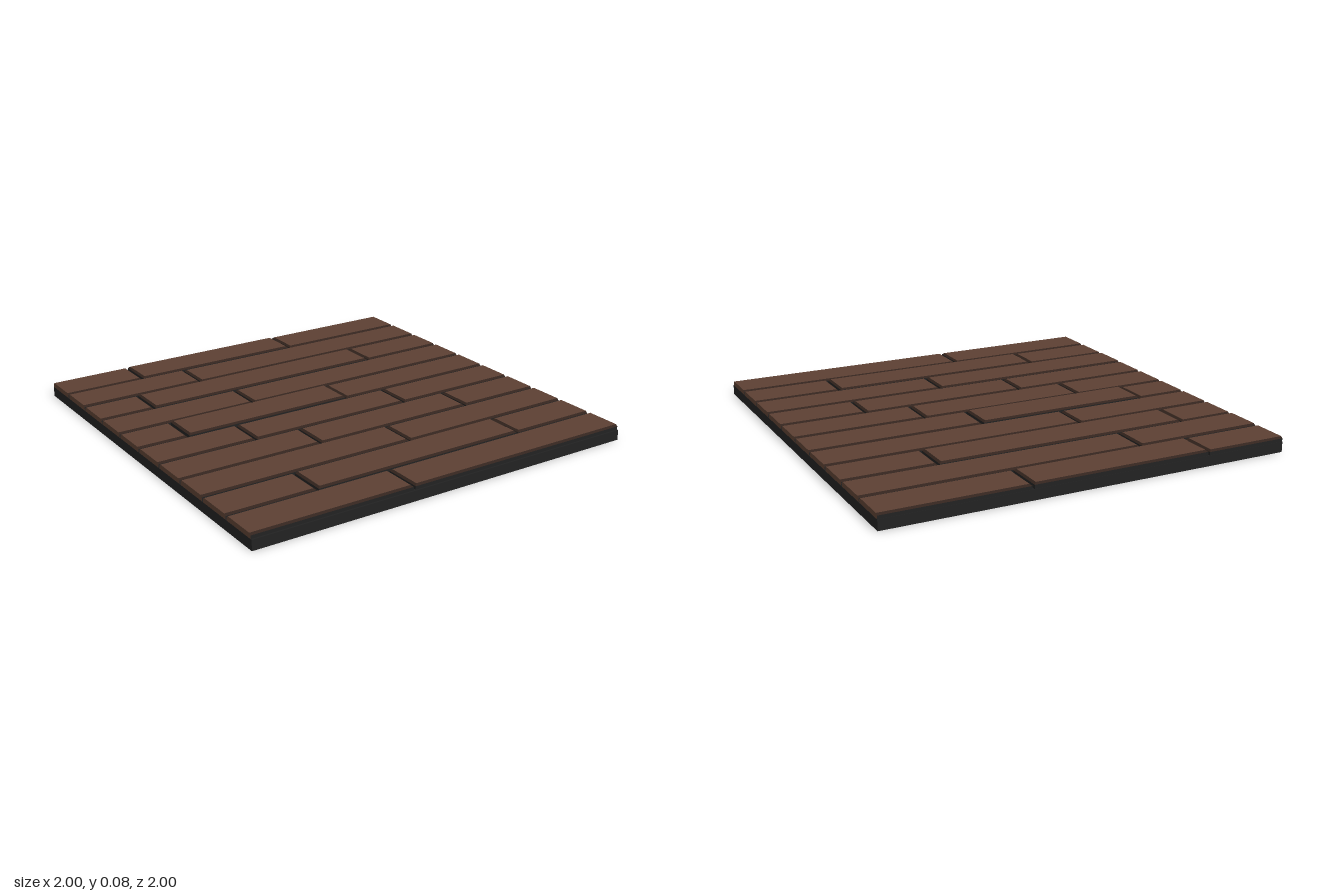
import * as THREE from 'three';

const wood = new THREE.MeshStandardMaterial({ name: 'brown wood', color: 0x5c4033 });
const edge = new THREE.MeshStandardMaterial({ name: 'dark wood edge', color: 0x33241d });
const dark = new THREE.MeshStandardMaterial({ name: 'black underlay', color: 0x222222 });

const BASE = 0.05, ROW = 0.2, GAP = 0.005, BEVEL = 0.01;

// Seam positions along x for every row, from back to front
const seams = [
  [-0.59, 0.3], [-0.36], [-0.72, 0.55], [-0.28], [-0.745, 0.135],
  [-0.5, 0.345], [-0.275, 0.57], [0.08], [-0.555, 0.555], [-0.195],
];
// Planks that stand a little proud of the rest, by "row-index"
const proud = { '0-1': 0.077, '1-0': 0.076, '2-1': 0.077, '4-1': 0.08, '7-0': 0.076, '8-1': 0.077 };

// Plank from three rectangular rings; ends on the panel's rim are cut flat
function plankGeometry(x0, x1, z0, z1, top) {
  const cutL = x0 <= -1, cutR = x1 >= 1;
  const ring = (y, inset) => {
    const a = x0 + (cutL ? 0 : inset), b = x1 - (cutR ? 0 : inset);
    return [[a, y, z1 - inset], [b, y, z1 - inset], [b, y, z0 + inset], [a, y, z0 + inset]];
  };
  const rings = [ring(BASE, 0), ring(top - 0.008, 0), ring(top, BEVEL)];
  const positions = [];
  const geometry = new THREE.BufferGeometry();
  const quad = (a, b, c, d, material) => {
    geometry.addGroup(positions.length / 3, 6, material);
    positions.push(...a, ...b, ...c, ...a, ...c, ...d);
  };
  for (let level = 0; level < 2; level++) {
    for (let i = 0; i < 4; i++) {
      const j = (i + 1) % 4;
      const cutEnd = (i === 1 && cutR) || (i === 3 && cutL);
      const material = cutEnd ? 0 : level === 0 ? 2 : 1;
      quad(rings[level][i], rings[level][j], rings[level + 1][j], rings[level + 1][i], material);
    }
  }
  quad(...rings[2], 0);
  geometry.setAttribute('position', new THREE.Float32BufferAttribute(positions, 3));
  geometry.computeVertexNormals();
  return geometry;
}

export function createModel() {
  const model = new THREE.Group();
  model.name = 'plankFloorPanel';

  // Underlay slab
  const slab = new THREE.Mesh(new THREE.BoxGeometry(2, BASE, 2), dark);
  slab.name = 'underlay';
  slab.position.y = BASE / 2;
  model.add(slab);

  // Rows of staggered planks
  seams.forEach((cuts, row) => {
    const group = new THREE.Group();
    group.name = `plankRow${row + 1}`;
    const z0 = -1 + row * ROW + 0.002, z1 = z0 + ROW - 0.01;
    const stops = [-1, ...cuts, 1];
    for (let i = 0; i < stops.length - 1; i++) {
      const x0 = i === 0 ? -1 : stops[i] + GAP;
      const x1 = i === stops.length - 2 ? 1 : stops[i + 1] - GAP;
      const top = proud[`${row}-${i}`] ?? 0.074;
      const plank = new THREE.Mesh(plankGeometry(x0, x1, z0, z1, top), [wood, edge, dark]);
      plank.name = 'plank';
      group.add(plank);
    }
    model.add(group);
  });
  return model;
}
